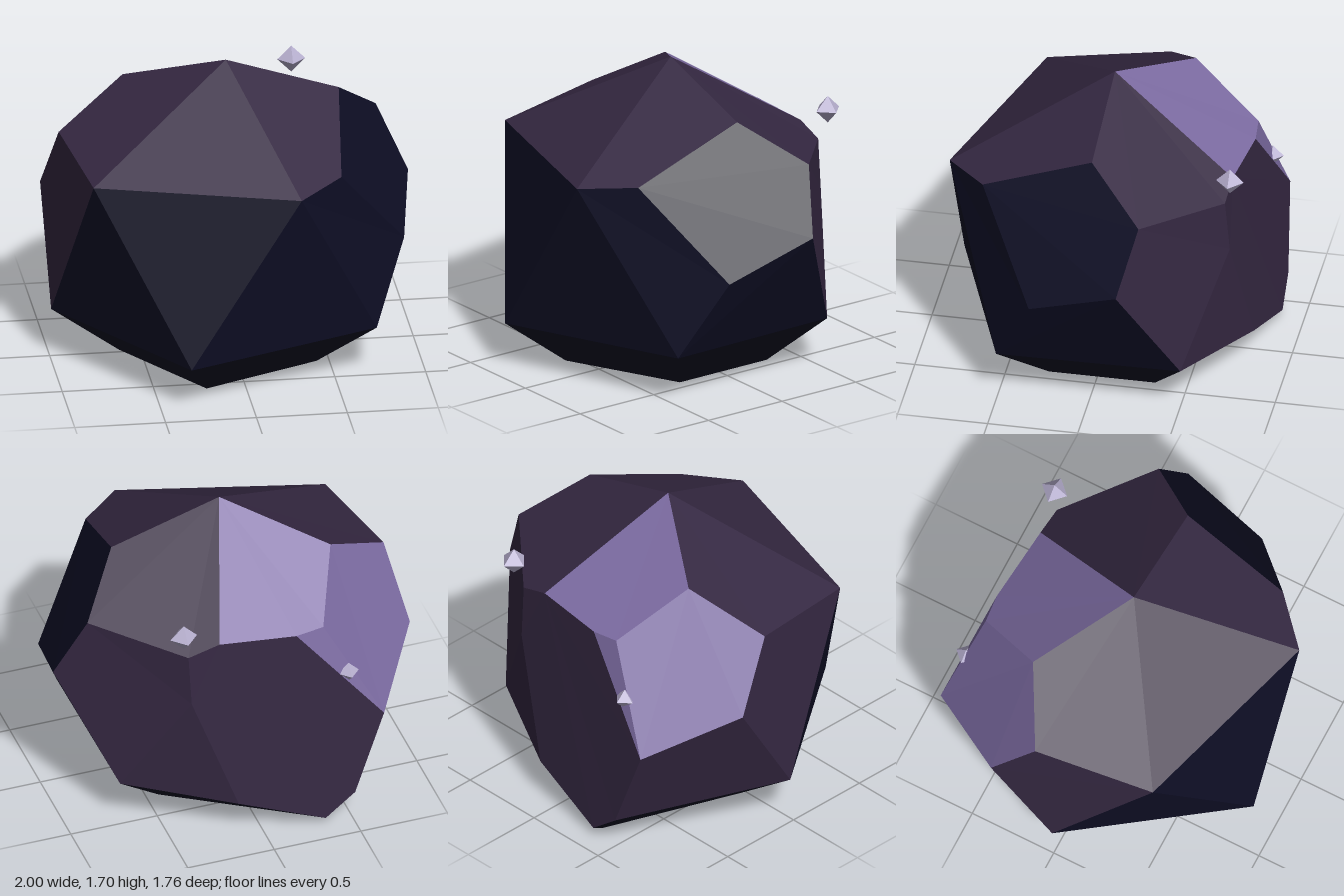
import * as THREE from 'three';

const material = (name, color) => {
  const m = new THREE.MeshStandardMaterial({ color, flatShading: true });
  m.name = name;
  return m;
};

// Corners of the faceted boulder
const corners = {
  A: [-0.03, 1.695, -0.01], B: [0.59, 1.5, 0], C: [0.835, 1.26, -0.305], D: [1, 0.9, -0.21],
  E: [0.91, 0.715, 0.29], F: [0.73, 0.28, 0.505], G: [0.52, 1.235, 0.62], H: [0.27, 1.205, 0.85],
  I: [-0.34, 0.25, 0.885], J: [-0.83, 1.205, 0.52], K: [-0.93, 1.26, -0.15], L: [-1, 0.87, -0.385],
  M: [-0.99, 0.27, -0.015], P: [-0.55, 1.49, -0.36], Q: [-0.375, 1.24, -0.74], R: [-0.215, 1.228, -0.755],
  S: [0.215, 1.245, -0.71], T: [0.39, 1.19, -0.7], U: [0.38, 0.89, -0.725], V: [0.72, 0.285, -0.515],
  W: [0.14, 0.215, -0.815], X: [-0.685, 0.66, -0.857], Y: [-0.51, 0.18, -0.88], Z: [-0.34, 0.045, -0.88],
  a: [0.43, 0, -0.32], b: [0.43, 0, 0.27], c: [-0.215, 0, 0.565], d: [-0.615, 0, -0.03], e: [-0.33, 0, -0.8],
};

// Builds flat facets from corner loops, each turned to face outward
function facets(name, loops, mat) {
  const centre = new THREE.Vector3(0, 0.8, 0);
  const points = [];
  for (const loop of loops) {
    const p = [...loop].map((k) => new THREE.Vector3(...corners[k]));
    const normal = new THREE.Vector3();
    const middle = new THREE.Vector3();
    p.forEach((v, i) => {
      normal.add(v.clone().sub(p[0]).cross(p[(i + 1) % p.length].clone().sub(p[0])));
      middle.addScaledVector(v, 1 / p.length);
    });
    if (normal.dot(middle.sub(centre)) < 0) p.reverse();
    for (let i = 1; i < p.length - 1; i++) points.push(p[0], p[i], p[i + 1]);
  }
  const geometry = new THREE.BufferGeometry().setFromPoints(points);
  geometry.computeVertexNormals();
  const mesh = new THREE.Mesh(geometry, mat);
  mesh.name = name;
  return mesh;
}

export function createModel() {
  const navy = material('midnight stone', 0x0e0e25);
  const plum = material('dark plum stone', 0x352842);
  const violet = material('violet stone', 0x7d6ca3);
  const pale = material('pale crystal', 0xb8b0d0);

  const model = new THREE.Group();
  model.name = 'crystalBoulder';

  // Boulder, split by colour
  const boulder = new THREE.Group();
  boulder.name = 'boulder';
  boulder.add(
    facets('topAndBackFacets', ['AJHGB', 'APKJ', 'ABCTS', 'STUWZYXR', 'CDVUT', 'UVW', 'JKLM', 'LXYM'], plum),
    facets('brightFacets', ['ASRQP', 'PQXLK', 'QRX'], violet),
    facets('frontAndSideFacets', ['JHI', 'HIF', 'HFEG', 'GEDCB', 'DEFV', 'JIM'], navy),
    facets('undersideFacets', ['IFbc', 'IcdM', 'MdeZY', 'FVab', 'VWZea', 'abcde'], navy),
  );
  model.add(boulder);

  // Small crystals at the back
  const crystal = (name, radius, x, y, z) => {
    const mesh = new THREE.Mesh(new THREE.OctahedronGeometry(radius), pale);
    mesh.name = name;
    mesh.position.set(x, y, z);
    model.add(mesh);
  };
  crystal('floatingCrystal', 0.077, 0.43, 1.365, -0.735);
  crystal('embeddedCrystal', 0.06, -0.5, 0.945, -0.797);

  return model;
}
